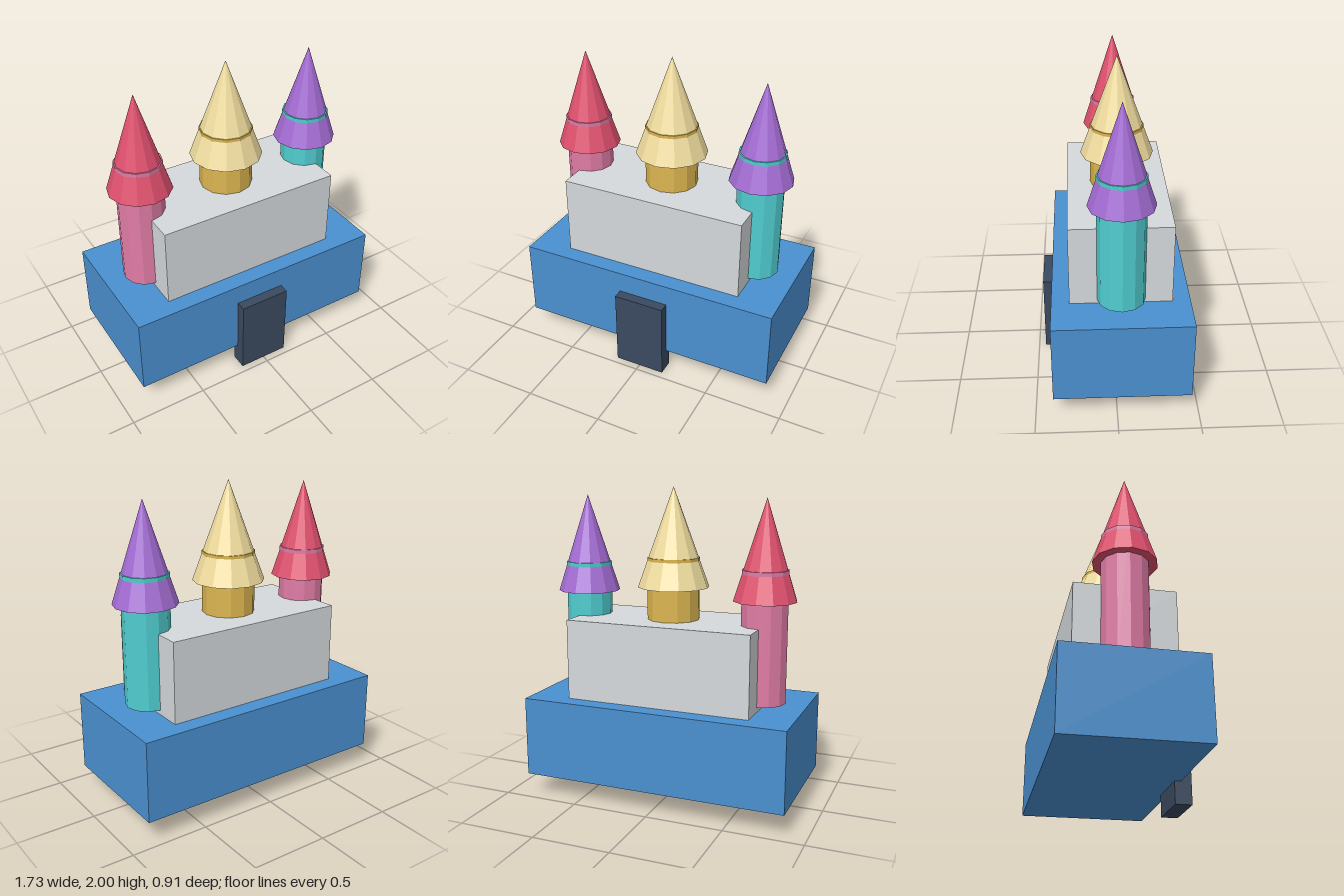
import * as THREE from 'three';

const CENTRE_Z = -0.033;

function part(name, geometry, color, x, y, z) {
  const material = new THREE.MeshStandardMaterial({ color, flatShading: true });
  const mesh = new THREE.Mesh(geometry, material);
  mesh.name = name;
  mesh.position.set(x, y, z);
  return mesh;
}

// Box given by its width and its y and z ranges, centred on x = 0
function block(name, color, width, y0, y1, z0, z1) {
  const geometry = new THREE.BoxGeometry(width, y1 - y0, z1 - z0);
  return part(name, geometry, color, 0, (y0 + y1) / 2, (z0 + z1) / 2);
}

// Twelve-sided shaft whose top rim just breaks through the cone roof
function tower({ name, x, radius, bottom, top, roofRadius, eave, apex, wall, roof }) {
  const group = new THREE.Group();
  group.name = name;
  group.position.set(x, 0, CENTRE_Z);
  group.add(
    part('towerShaft', new THREE.CylinderGeometry(radius, radius, top - bottom, 12), wall, 0, (top + bottom) / 2, 0),
    part('towerRoof', new THREE.ConeGeometry(roofRadius, apex - eave, 12), roof, 0, (apex + eave) / 2, 0)
  );
  return group;
}

export function createModel() {
  const castle = new THREE.Group();
  castle.name = 'castle';

  // Base, keep and door
  castle.add(
    block('base', 0x4a90d0, 1.73, 0.14, 0.655, -0.455, 0.39),
    block('keep', 0xd5d9dc, 1.21, 0.655, 1.17, -0.345, 0.28),
    block('door', 0x3b4a60, 0.334, 0, 0.517, 0.35, 0.455)
  );

  // Side towers share one size and stand a little clear of the base
  const side = { radius: 0.147, bottom: 0.685, top: 1.512, roofRadius: 0.2, eave: 1.322, apex: 1.942 };
  castle.add(
    tower({ ...side, name: 'rightTower', x: -0.6, wall: 0xe07ca6, roof: 0xe0506e }),
    tower({ ...side, name: 'leftTower', x: 0.6, wall: 0x50cdd0, roof: 0xa46cd4 }),
    tower({
      name: 'middleTower', x: 0, radius: 0.167, bottom: 0.74, top: 1.562,
      roofRadius: 0.228, eave: 1.375, apex: 2, wall: 0xdcb650, roof: 0xf0dd9f
    })
  );
  return castle;
}
